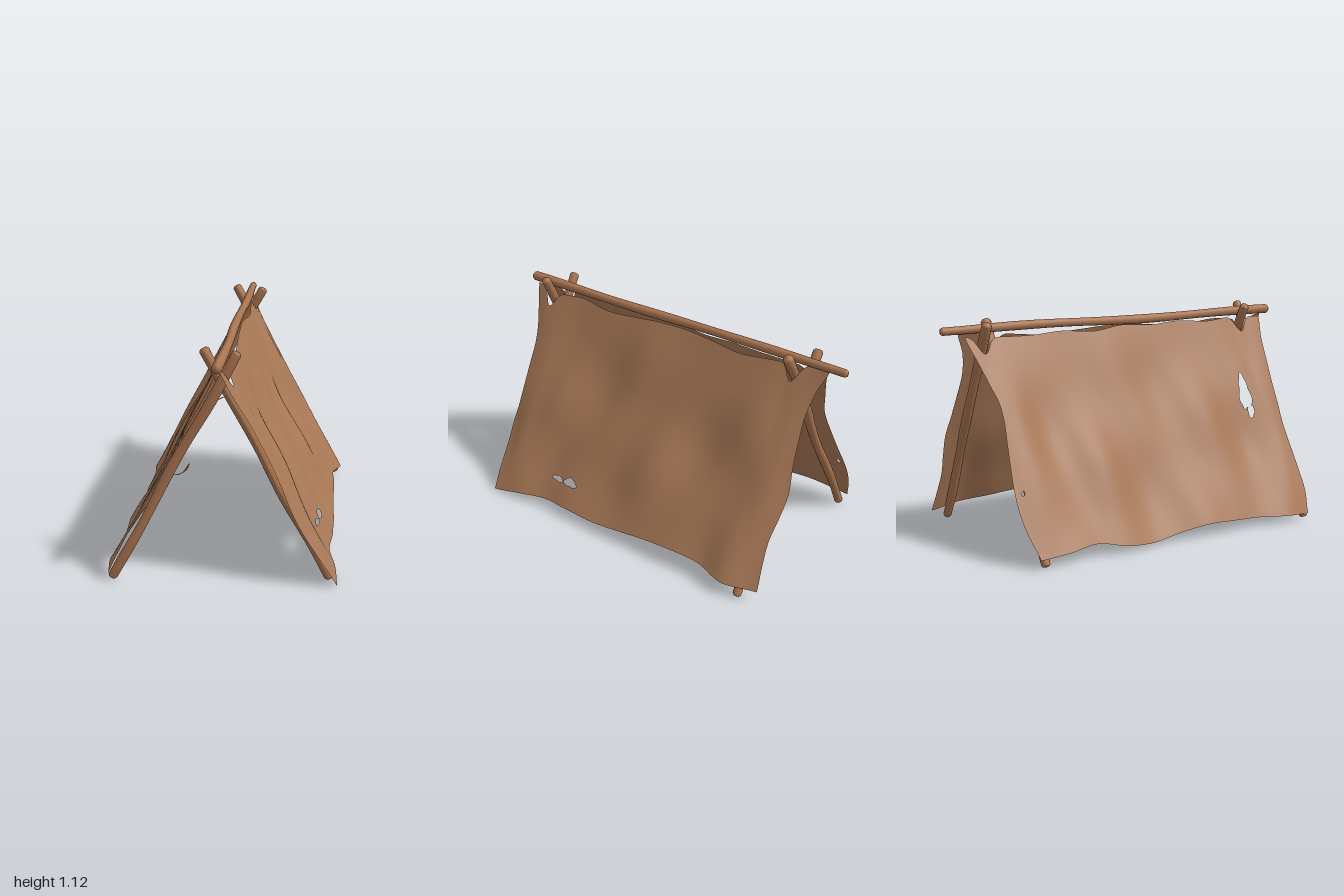
import * as THREE from 'three';

const wood = new THREE.MeshStandardMaterial({ color: 0xa8734f });
wood.name = 'wood';
const cloth = new THREE.MeshStandardMaterial({ color: 0xa87856, side: THREE.DoubleSide });
cloth.name = 'cloth';

// Smooth interpolation through evenly spaced values
function sample(values, t) {
  const f = Math.min(Math.max(t, 0), 1) * (values.length - 1);
  const i = Math.min(Math.floor(f), values.length - 2);
  const k = f - i;
  const at = (j) => values[Math.min(Math.max(j, 0), values.length - 1)];
  const [a, b, c, d] = [at(i - 1), at(i), at(i + 1), at(i + 2)];
  return b + 0.5 * k * (c - a + k * (2 * a - 5 * b + 4 * c - d + k * (3 * (b - c) + d - a)));
}

// Slightly crooked branch with rounded ends, running between two points
function pole(name, from, to, r0, r1, bend, phase) {
  const start = new THREE.Vector3(...from);
  const dir = new THREE.Vector3(...to).sub(start);
  const length = dir.length();
  const rows = 20;
  const profile = [new THREE.Vector2(0, 0), new THREE.Vector2(r0 * 0.7, 0.003)];
  for (let i = 0; i <= rows; i++) {
    const t = i / rows;
    const r = (r0 + (r1 - r0) * t) * (1 + 0.06 * Math.sin(t * 17 + phase));
    profile.push(new THREE.Vector2(r, 0.013 + t * (length - 0.026)));
  }
  profile.push(new THREE.Vector2(r1 * 0.7, length - 0.003), new THREE.Vector2(0, length));
  const geo = new THREE.LatheGeometry(profile, 14);
  const p = geo.attributes.position;
  for (let i = 0; i < p.count; i++) {
    const t = p.getY(i) / length;
    const w = bend * Math.sin(Math.PI * t);
    p.setX(i, p.getX(i) + w * Math.sin(t * 9 + phase));
    p.setZ(i, p.getZ(i) + w * Math.cos(t * 7 + phase));
  }
  geo.computeVertexNormals();
  const mesh = new THREE.Mesh(geo, wood);
  mesh.name = name;
  mesh.position.copy(start);
  mesh.quaternion.setFromUnitVectors(new THREE.Vector3(0, 1, 0), dir.normalize());
  return mesh;
}

// One hanging sheet: u runs back to front, s runs from ridge to ground
function sheetPoint(d, u, s) {
  const z = THREE.MathUtils.lerp(sample(d.back, s), sample(d.front, s), u);
  let topY = sample(d.topY, u);
  for (const n of d.notches) topY -= 0.08 * Math.exp(-(((z - n) / 0.04) ** 2));
  const topX = 0.016 + 0.5 * (1.06 - topY);
  const x = THREE.MathUtils.lerp(topX, sample(d.bottomX, u), s);
  const y = THREE.MathUtils.lerp(topY, sample(d.bottomY, u), s);
  // The cloth lies over its two legs and sags inward between them
  let free = 1;
  for (const r of d.rests) free -= Math.exp(-(((z - r) / 0.1) ** 2));
  const amp = (0.004 + 0.007 * free) * Math.sin(Math.PI * Math.min(1, s * 0.85 + 0.05));
  const fold = amp * (Math.sin(z * 10 + s * 3 + d.phase) + 0.7 * Math.sin(z * 17 - s * 6 + d.phase * 2)
    + 0.6 * Math.sin(s * 11 + z * 3 + d.phase)) - 0.018 * free * Math.sin(Math.PI * s);
  return [d.side * (x + fold * 0.88), y + fold * 0.48, z];
}

function sheet(name, d) {
  const nu = 190, ns = 120;
  const pos = [], index = [], inside = [];
  for (let j = 0; j <= ns; j++) {
    for (let i = 0; i <= nu; i++) {
      let u = i / nu, s = j / ns, cut = false;
      // Vertices inside a tear move out to its rim
      d.tears.forEach(([cu, cs, ru, rs], k) => {
        const a = (u - cu) / ru, b = (s - cs) / rs;
        const angle = Math.atan2(b, a);
        const rim = 1 + 0.15 * Math.sin(angle * 3 + k) + 0.08 * Math.sin(angle * 7);
        const q = Math.hypot(a, b);
        if (cut || q >= rim) return;
        cut = true;
        const out = rim / Math.max(q, 0.001);
        u = cu + a * out * ru;
        s = cs + b * out * rs;
      });
      inside.push(cut);
      pos.push(...sheetPoint(d, u, s));
    }
  }
  const face = (a, b, c) => {
    if (inside[a] && inside[b] && inside[c]) return;
    if (d.side > 0) index.push(a, b, c);
    else index.push(a, c, b);
  };
  for (let j = 0; j < ns; j++) {
    for (let i = 0; i < nu; i++) {
      const a = j * (nu + 1) + i, c = a + nu + 1;
      face(a, a + 1, c);
      face(a + 1, c + 1, c);
    }
  }
  const geo = new THREE.BufferGeometry();
  geo.setAttribute('position', new THREE.Float32BufferAttribute(pos, 3));
  geo.setIndex(index);
  geo.computeVertexNormals();
  const mesh = new THREE.Mesh(geo, cloth);
  mesh.name = name;
  return mesh;
}

// Loose frayed thread
function thread(points) {
  const curve = new THREE.CatmullRomCurve3(points.map((p) => new THREE.Vector3(...p)));
  const mesh = new THREE.Mesh(new THREE.TubeGeometry(curve, 10, 0.002, 5), cloth);
  mesh.name = 'frayedThread';
  return mesh;
}

export function createModel() {
  const group = new THREE.Group();
  group.name = 'leanTent';

  // Ridge pole and the four crossed legs
  group.add(pole('ridgePole', [0.004, 1.085, 1], [0, 1.092, -1], 0.024, 0.021, 0.007, 0.5));
  const legs = [
    ['frontRightLeg', -1, 0.865, 0.84],
    ['frontLeftLeg', 1, 0.78, 0.775],
    ['backRightLeg', -1, -0.72, -0.72],
    ['backLeftLeg', 1, -0.765, -0.79],
  ];
  legs.forEach(([name, s, footZ, topZ], i) => {
    group.add(pole(name, [s * 0.52, 0.014, footZ], [-s * 0.083, 1.128, topZ], 0.023, 0.025, 0.007, i * 1.7));
  });

  // Cloth sheets
  group.add(sheet('leftSheet', {
    side: 1,
    phase: 0.4,
    notches: [0.84, -0.72],
    rests: [0.778, -0.777],
    topY: [1.09, 1.07, 1.05, 1.035, 1.05, 1.06, 1.055, 1.04, 1.03, 1.05, 1.04, 1.06],
    bottomX: [0.49, 0.545, 0.515, 0.515, 0.518, 0.52, 0.53, 0.52, 0.508, 0.54, 0.553],
    bottomY: [0.065, 0.075, 0.1, 0.105, 0.095, 0.075, 0.065, 0.065, 0.06, 0.045, 0.015],
    back: [-0.91, -0.865, -0.845, -0.85, -0.86, -0.875, -0.865, -0.85, -0.855, -0.865],
    front: [0.955, 0.92, 0.875, 0.87, 0.87, 0.875, 0.885, 0.88, 0.875, 0.865],
    tears: [[0.713, 0.872, 0.026, 0.02], [0.768, 0.88, 0.023, 0.013]],
  }));
  group.add(sheet('rightSheet', {
    side: -1,
    phase: 2.1,
    notches: [0.775, -0.79],
    rests: [0.852, -0.72],
    topY: [1.06, 1.05, 1.045, 1.055, 1.04, 1.06, 1.05, 1.06, 1.045, 1.06, 1.05],
    bottomX: [0.545, 0.545, 0.52, 0.535, 0.515, 0.515, 0.53, 0.53, 0.525, 0.555, 0.535],
    bottomY: [0.06, 0.07, 0.08, 0.045, 0.03, 0.055, 0.075, 0.07, 0.06, 0.05, 0.035],
    back: [-0.88, -0.84, -0.79, -0.78, -0.79, -0.8, -0.81, -0.81, -0.79, -0.76],
    front: [0.92, 0.9, 0.895, 0.89, 0.89, 0.885, 0.89, 0.895, 0.9, 0.88],
    tears: [[0.876, 0.385, 0.02, 0.085], [0.886, 0.46, 0.01, 0.05], [0.025, 0.69, 0.006, 0.012]],
  }));

  // Threads hanging from the tears
  group.add(
    thread([[-0.255, 0.475, 0.68], [-0.215, 0.48, 0.68], [-0.18, 0.5, 0.66], [-0.168, 0.53, 0.66]]),
    thread([[-0.2, 0.485, 0.67], [-0.19, 0.495, 0.66], [-0.175, 0.515, 0.64]]),
    thread([[-0.09, 0.85, 0.68], [-0.04, 0.852, 0.68], [0, 0.868, 0.67]]),
    thread([[0.17, 0.66, 0.45], [0.155, 0.64, 0.43], [0.148, 0.6, 0.43], [0.165, 0.57, 0.42]]),
    thread([[0.38, 0.27, 0.4], [0.345, 0.3, 0.4], [0.295, 0.333, 0.38]]),
    thread([[0.38, 0.28, 0.47], [0.35, 0.26, 0.47], [0.348, 0.235, 0.47]]),
  );
  return group;
}
